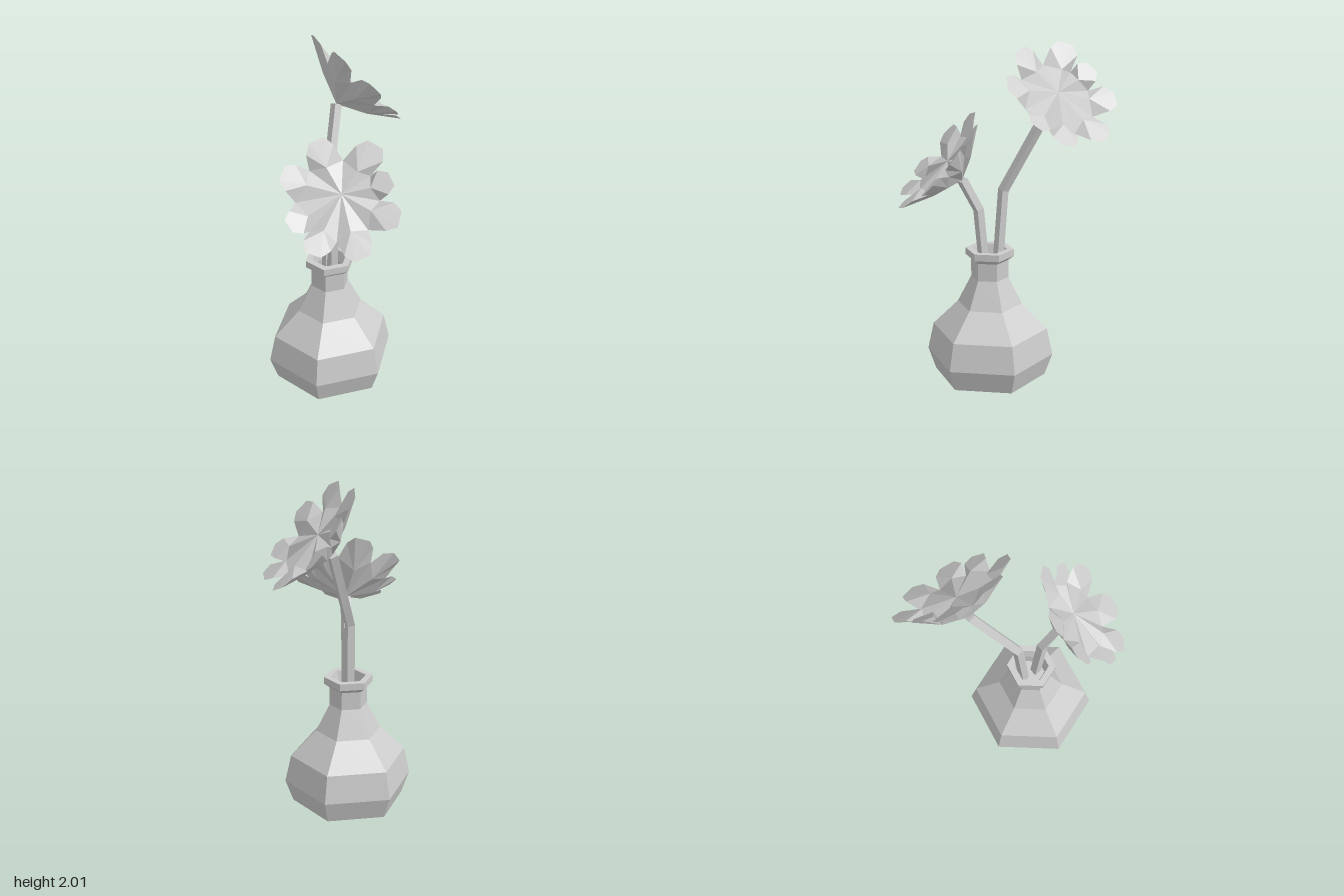
import * as THREE from 'three';

const material = new THREE.MeshStandardMaterial({ color: 0xcccccc, flatShading: true, side: THREE.DoubleSide });

function makeMesh(name, geometry) {
  const mesh = new THREE.Mesh(geometry, material);
  mesh.name = name;
  return mesh;
}

// Geometry from a list of Vector3 triangles
function fromTriangles(points) {
  const geometry = new THREE.BufferGeometry().setFromPoints(points);
  geometry.computeVertexNormals();
  return geometry;
}

// Square bar swept along a bent path
function stemGeometry(path, radius) {
  const rings = path.map((p, i) => {
    const dir = path[Math.min(i + 1, path.length - 1)].clone().sub(path[Math.max(i - 1, 0)]).normalize();
    const a = new THREE.Vector3(0, 0, 1).cross(dir).normalize();
    const b = dir.clone().cross(a);
    return [0, 1, 2, 3].map((k) => {
      const t = (k * Math.PI) / 2 + 0.5;
      return p.clone().addScaledVector(a, -radius * Math.cos(t)).addScaledVector(b, -radius * Math.sin(t));
    });
  });
  const tris = [];
  for (let i = 0; i + 1 < rings.length; i++) {
    for (let k = 0; k < 4; k++) {
      const n = (k + 1) % 4;
      const lo = rings[i], hi = rings[i + 1];
      tris.push(lo[k], lo[n], hi[n], lo[k], hi[n], hi[k]);
    }
  }
  const first = rings[0], last = rings[rings.length - 1];
  tris.push(first[0], first[2], first[1], first[0], first[3], first[2]);
  tris.push(last[0], last[1], last[2], last[0], last[2], last[3]);
  return fromTriangles(tris);
}

// Blossom opening towards +z: [angle in degrees, length] per petal
const PETALS = [
  [-143, 0.3], [-107, 0.33], [-62, 0.345], [-12, 0.34],
  [28, 0.3], [63, 0.355], [117, 0.335], [163, 0.325],
];

// Closed body: a bowl behind and a shallow, creased face in front share one rim
function flowerGeometry() {
  const polar = (deg, r, z) => {
    const t = THREE.MathUtils.degToRad(deg);
    return new THREE.Vector3(r * Math.cos(t), r * Math.sin(t), z);
  };
  const hub = new THREE.Vector3(0, 0, 0);
  const face = new THREE.Vector3(0.015, 0.035, 0.14);
  const count = PETALS.length;
  const valleys = PETALS.map(([angle], i) => {
    const next = PETALS[(i + 1) % count][0] + (i === count - 1 ? 360 : 0);
    return polar((angle + next) / 2, 0.22, 0.125);
  });
  const tris = [];
  PETALS.forEach(([angle, length], i) => {
    const before = valleys[(i + count - 1) % count];
    const after = valleys[i];
    const rim = [
      before,
      polar(angle - 15, length * 0.87, 0.175),
      polar(angle - 7, length, 0.185),
      polar(angle + 8, length * 0.98, 0.185),
      polar(angle + 16, length * 0.85, 0.175),
      after,
    ];
    const frontLoop = [face, ...rim, face];
    const backLoop = [hub, ...rim, hub];
    const frontMid = polar(angle, 0.18, 0.16);
    const backMid = polar(angle, 0.17, 0.075);
    for (let k = 0; k + 1 < frontLoop.length; k++) {
      tris.push(frontMid, frontLoop[k], frontLoop[k + 1]);
      tris.push(backMid, backLoop[k + 1], backLoop[k]);
    }
  });
  return fromTriangles(tris);
}

function makeFlower(name, base, normal, spin, stemPath) {
  const flower = new THREE.Group();
  flower.name = name;
  const n = new THREE.Vector3(...normal).normalize();
  const u = new THREE.Vector3(0, 1, 0).cross(n).normalize();
  const v = n.clone().cross(u);

  const blossom = makeMesh('blossom', flowerGeometry());
  blossom.quaternion.setFromRotationMatrix(new THREE.Matrix4().makeBasis(u, v, n));
  blossom.rotateZ(THREE.MathUtils.degToRad(spin));
  blossom.position.set(...base);

  const path = [...stemPath, base].map((p) => new THREE.Vector3(...p));
  flower.add(blossom, makeMesh('stem', stemGeometry(path, 0.031)));
  return flower;
}

export function createModel() {
  const model = new THREE.Group();
  model.name = 'flowerVase';

  // Six-sided vase: outer wall, lip, then inside of the neck
  const profile = [
    [0, 0], [0.16, 0], [0.325, 0.07], [0.37, 0.2], [0.335, 0.36], [0.188, 0.51],
    [0.108, 0.67], [0.108, 0.775], [0.14, 0.8], [0.14, 0.84],
    [0.1, 0.84], [0.085, 0.78], [0.085, 0.7], [0, 0.7],
  ].map(([r, y]) => new THREE.Vector2(r, y));
  const vase = makeMesh('vase', new THREE.LatheGeometry(profile, 6));
  vase.position.set(-0.093, 0, -0.04);
  model.add(vase);

  model.add(
    makeFlower('tallFlower', [0.17, 1.64, -0.22], [0.7, 0.66, 0.28], 0,
      [[-0.068, 0.7, -0.08], [-0.045, 1.18, -0.105]]),
    makeFlower('shortFlower', [-0.18, 1.26, 0.095], [-0.5, 0.65, 0.52], -10,
      [[-0.105, 0.7, -0.01], [-0.125, 1.08, 0.02]]),
  );
  return model;
}
